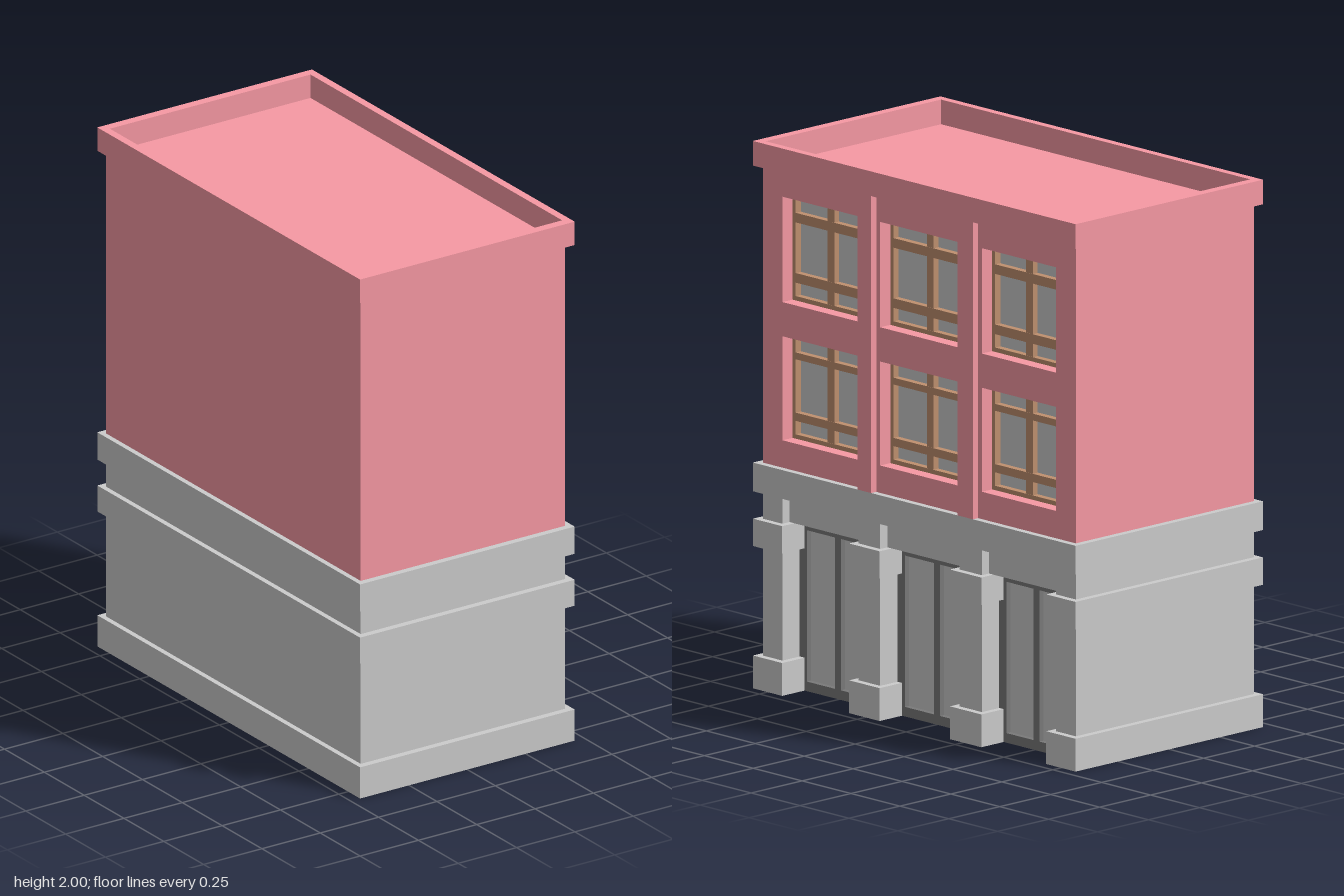
import * as THREE from 'three';

const mat = (color) => new THREE.MeshStandardMaterial({ color, flatShading: true });

export function createModel() {
  const model = new THREE.Group();
  const stone = mat(0xcccccc), brick = mat(0xf799a4), wood = mat(0xc0906f), metal = mat(0x7a7a7a);

  // box given by its limits along each axis
  function box(parent, name, material, [x0, x1], [y0, y1], [z0, z1]) {
    const mesh = new THREE.Mesh(new THREE.BoxGeometry(x1 - x0, y1 - y0, z1 - z0), material);
    mesh.position.set((x0 + x1) / 2, (y0 + y1) / 2, (z0 + z1) / 2);
    mesh.name = name;
    parent.add(mesh);
    return mesh;
  }
  function group(name) {
    const g = new THREE.Group();
    g.name = name;
    model.add(g);
    return g;
  }
  function rect(Type, x0, x1, y0, y1) {
    const s = new Type();
    s.moveTo(x0, y0);
    s.lineTo(x1, y0);
    s.lineTo(x1, y1);
    s.lineTo(x0, y1);
    s.closePath();
    return s;
  }

  const bays = [[0.31, 0.70], [-0.205, 0.2], [-0.70, -0.32]];
  const endPiers = [[0.70, 0.80], [-0.80, -0.70]];
  const midPiers = [[0.2, 0.31], [-0.32, -0.205]];

  // ground floor: hollow shell, open underneath
  const ground = group('groundFloor');
  box(ground, 'backWall', stone, [-0.44, -0.42], [0, 0.72], [-0.70, 0.70]);
  box(ground, 'ceiling', stone, [-0.42, 0.40], [0.62, 0.72], [-0.70, 0.70]);
  for (const z of endPiers) box(ground, 'endWall', stone, [-0.44, 0.435], [0, 0.72], z);
  for (const z of midPiers) box(ground, 'pier', stone, [0.3, 0.435], [0, 0.72], z);

  // plinth and capital bands round the ends, back and piers
  for (const [name, y] of [['plinth', [0, 0.12]], ['capital', [0.52, 0.62]]]) {
    box(ground, name + 'Back', stone, [-0.46, -0.43], y, [-0.68, 0.68]);
    box(ground, name + 'Left', stone, [-0.46, 0.46], y, [0.675, 0.825]);
    box(ground, name + 'Right', stone, [-0.46, 0.46], y, [-0.825, -0.675]);
    const back = name === 'plinth' ? -0.45 : 0.3;
    for (const [a, b] of midPiers)
      box(ground, name + 'Pier', stone, [back, 0.46], y, [a - 0.023, b + 0.023]);
  }
  box(ground, 'beltCourse', stone, [-0.46, 0.46], [0.72, 0.825], [-0.825, 0.825]);

  // shop doors set back between the piers
  for (const [a, b] of bays) {
    const door = group('door');
    const m = (a + b) / 2, x = [0.31, 0.35];
    box(door, 'doorPane', stone, [0.32, 0.33], [0.03, 0.6], [a + 0.03, b - 0.03]);
    box(door, 'doorHead', metal, x, [0.588, 0.62], [a, b]);
    box(door, 'doorSill', metal, x, [0, 0.035], [a, b]);
    box(door, 'doorJamb', metal, x, [0.035, 0.588], [a, a + 0.037]);
    box(door, 'doorJamb', metal, x, [0.035, 0.588], [b - 0.037, b]);
    box(door, 'doorMullion', metal, x, [0.035, 0.588], [m - 0.015, m + 0.015]);
  }

  // upper floors: solid core with a pierced facade wall in front
  const upper = group('upperFloors');
  box(upper, 'upperBody', brick, [-0.44, 0.35], [0.825, 1.91], [-0.80, 0.80]);
  const rows = [
    { y: [0.925, 1.305], bars: [[0.99, 1.02], [1.215, 1.24]] },
    { y: [1.43, 1.815], bars: [[1.495, 1.53], [1.715, 1.75]] },
  ];
  const wall = rect(THREE.Shape, -0.80, 0.80, 0.825, 1.91);
  for (const { y } of rows)
    for (const [a, b] of bays) wall.holes.push(rect(THREE.Path, -b, -a, ...y));
  const facade = new THREE.Mesh(
    new THREE.ExtrudeGeometry(wall, { depth: 0.085, bevelEnabled: false }).rotateY(Math.PI / 2), brick);
  facade.position.x = 0.35;
  facade.name = 'facadeWall';
  upper.add(facade);
  for (const z of [[0.22, 0.29], [-0.30, -0.22]])
    box(upper, 'pilaster', brick, [0.43, 0.46], [0.825, 1.92], z);

  // windows with frame, mullion and two transoms
  for (const { y, bars } of rows) {
    for (const [a, b] of bays) {
      const win = group('window');
      const m = (a + b) / 2, x = [0.352, 0.385], t = 0.016;
      box(win, 'glass', stone, [0.345, 0.36], y, [a, b]);
      for (const h of [[y[0], y[0] + t], [y[1] - t, y[1]]]) box(win, 'frameRail', wood, x, h, [a, b]);
      for (const z of [[a, a + t], [b - t, b]])
        box(win, 'frameStile', wood, x, [y[0] + t, y[1] - t], z);
      for (const h of bars) box(win, 'transom', wood, x, h, [a + t, b - t]);
      box(win, 'mullion', wood, [0.352, 0.384], [y[0] + t, y[1] - t], [m - 0.017, m + 0.017]);
    }
  }

  // parapet ring round the flat roof
  const ring = rect(THREE.Shape, -0.46, 0.46, -0.825, 0.825);
  ring.holes.push(rect(THREE.Path, -0.43, 0.43, -0.79, 0.79));
  const parapet = new THREE.Mesh(
    new THREE.ExtrudeGeometry(ring, { depth: 0.09, bevelEnabled: false }).rotateX(-Math.PI / 2), brick);
  parapet.position.y = 1.91;
  parapet.name = 'parapet';
  model.add(parapet);

  return model;
}
